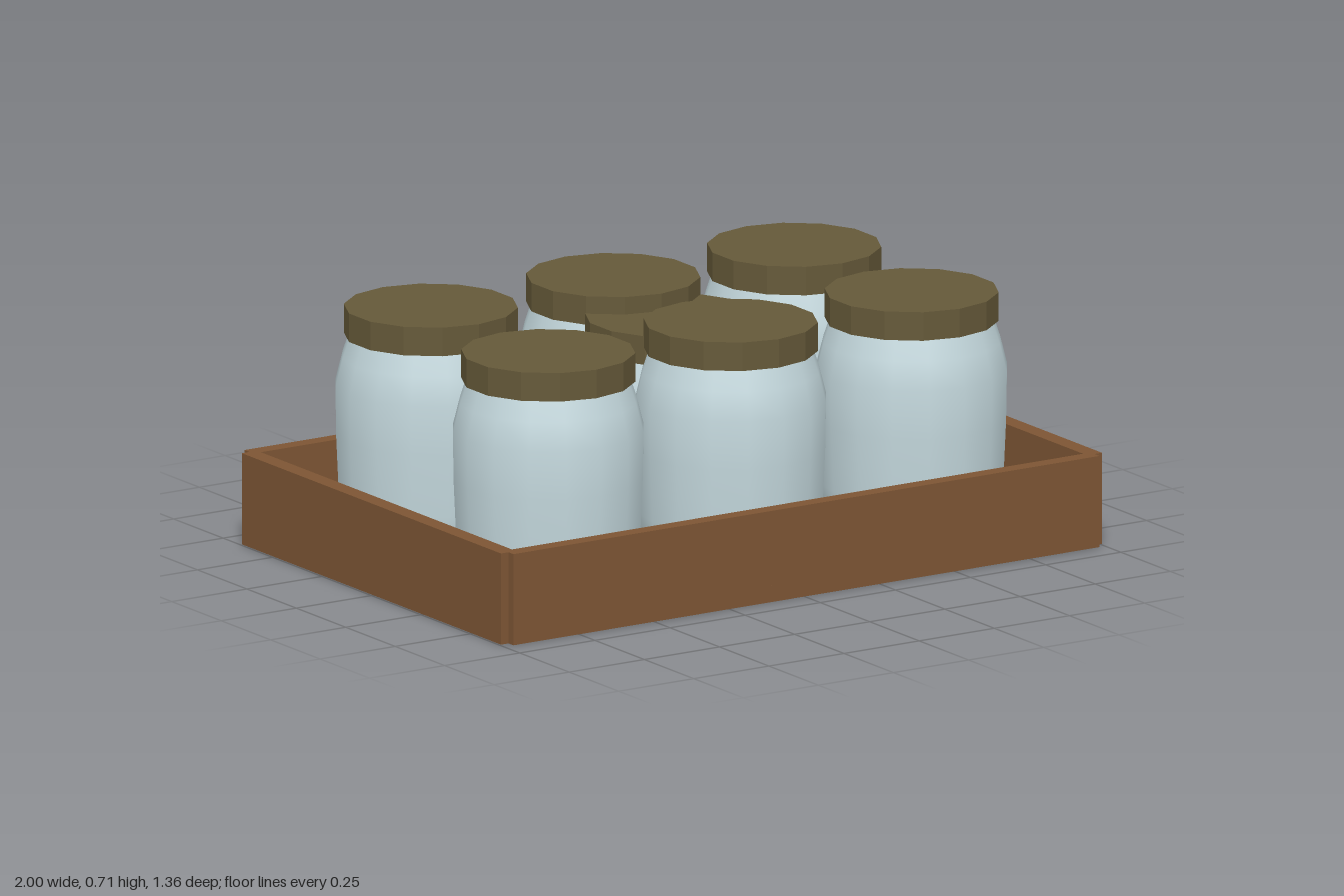
import * as THREE from 'three';

export function createModel() {
  const wood = new THREE.MeshStandardMaterial({ color: 0x7d5534 });
  wood.name = 'brown wood';
  const glass = new THREE.MeshStandardMaterial({ color: 0xc3d7dc });
  glass.name = 'pale blue glass';
  const brass = new THREE.MeshStandardMaterial({ color: 0x655939 });
  brass.name = 'dull brass';

  const model = new THREE.Group();
  model.name = 'trayOfJars';

  function add(parent, name, geometry, material, y) {
    const mesh = new THREE.Mesh(geometry, material);
    mesh.name = name;
    mesh.position.y = y;
    parent.add(mesh);
  }

  // Tray outline: a rectangle with a small square notch at each corner
  const X = 1, Z = 0.68, N = 0.025;
  const corners = [
    [X, -Z + N], [X, Z - N], [X - N, Z - N], [X - N, Z],
    [-X + N, Z], [-X + N, Z - N], [-X, Z - N], [-X, -Z + N],
    [-X + N, -Z + N], [-X + N, -Z], [X - N, -Z], [X - N, -Z + N],
  ].map(([x, z]) => new THREE.Vector2(x, z));

  function slab(hole, height) {
    const shape = new THREE.Shape(corners);
    if (hole) shape.holes.push(hole);
    return new THREE.ExtrudeGeometry(shape, { depth: height, bevelEnabled: false }).rotateX(-Math.PI / 2);
  }

  const inside = new THREE.Path([
    [-0.95, -0.635], [-0.95, 0.635], [0.95, 0.635], [0.95, -0.635],
  ].map(([x, z]) => new THREE.Vector2(x, z)));
  const tray = new THREE.Group();
  tray.name = 'tray';
  add(tray, 'trayFloor', slab(null, 0.047), wood, 0.003);
  add(tray, 'trayWalls', slab(inside, 0.215), wood, 0.05);
  model.add(tray);

  // Jar body: smooth, slightly flared, with a sloping shoulder
  const profile = [
    [0, 0], [0.225, 0], [0.25, 0.03], [0.26, 0.12], [0.268, 0.3],
    [0.27, 0.44], [0.25, 0.52], [0.23, 0.58], [0.225, 0.6],
  ].map(([r, y]) => new THREE.Vector2(r, y));
  const jarBody = new THREE.LatheGeometry(profile, 16);

  // Faceted lid
  const jarLid = new THREE.CylinderGeometry(0.243, 0.243, 0.082, 14).toNonIndexed();
  jarLid.computeVertexNormals();

  function addJar(x, y, z) {
    const jar = new THREE.Group();
    jar.name = 'jar';
    add(jar, 'jarBody', jarBody, glass, 0);
    add(jar, 'jarLid', jarLid, brass, 0.62);
    jar.position.set(x, y, z);
    model.add(jar);
  }

  // Two rows of three, plus one lower jar in the middle sunk through the floor
  for (const x of [-0.607, 0, 0.602]) {
    for (const z of [-0.297, 0.297]) addJar(x, 0.05, z);
  }
  addJar(0, 0, 0);

  return model;
}
